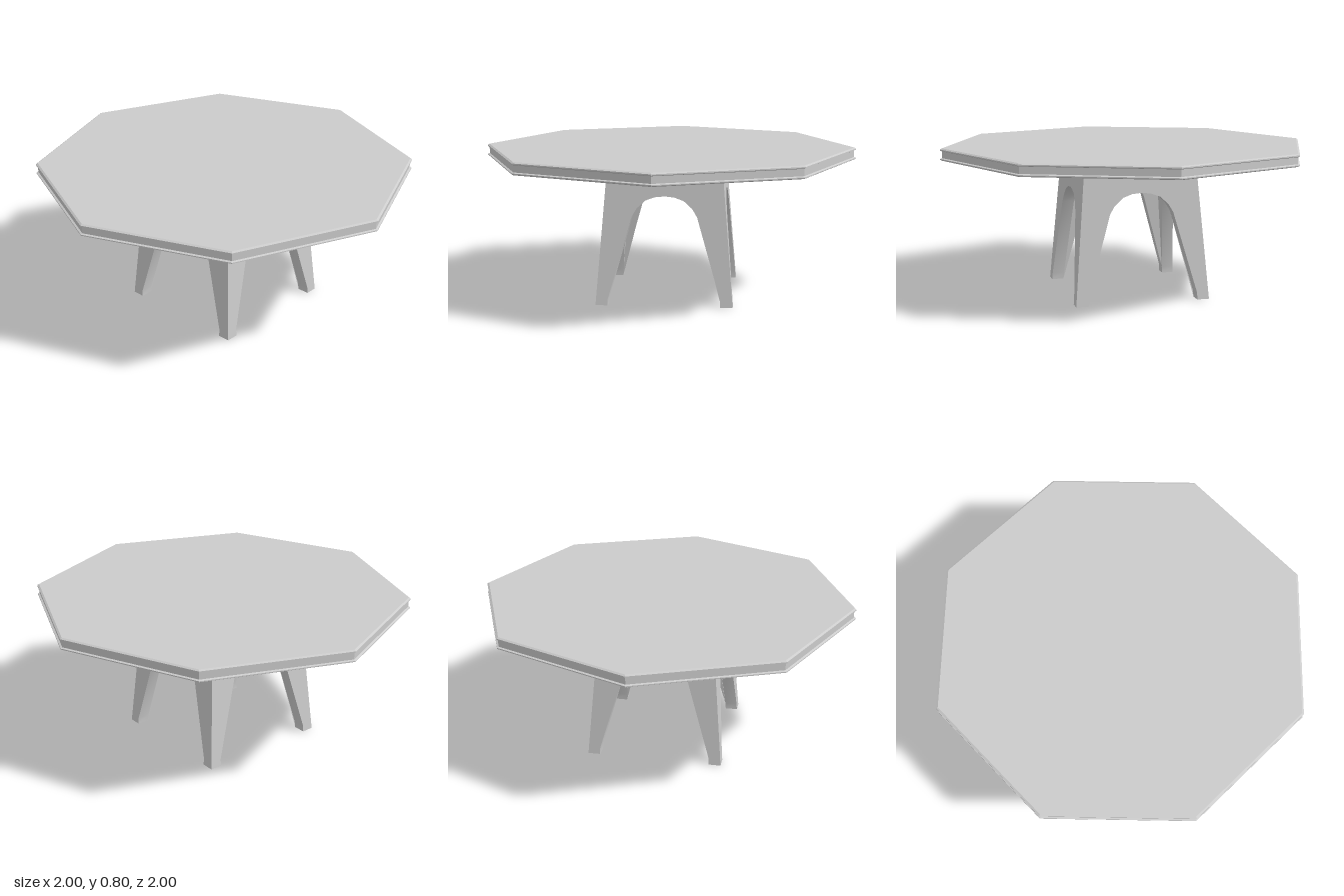
import * as THREE from 'three';
import { toCreasedNormals } from 'three/addons/utils/BufferGeometryUtils.js';

const LEG_TOP = 0.74;
const WALL = 0.065;

// Half width of the flared base at height y
const halfWidth = (y) => 0.36 - 0.062 * (y / LEG_TOP);

// One arched side of the base, mitred at the corners and leaning with the flare
function archPanel() {
  const arch = [[0.295, 0], [0.295, 0.035], [0.17, 0.47], [0.144, 0.513],
    [0.1, 0.553], [0.05, 0.571], [0, 0.576]];
  const right = arch.map(([x, y]) => new THREE.Vector2(x, y));
  const left = arch.slice(0, -1).reverse().map(([x, y]) => new THREE.Vector2(-x, y));
  const outline = [
    new THREE.Vector2(-halfWidth(0), 0), new THREE.Vector2(-halfWidth(LEG_TOP), LEG_TOP),
    new THREE.Vector2(halfWidth(LEG_TOP), LEG_TOP), new THREE.Vector2(halfWidth(0), 0),
    ...right, ...left,
  ];
  const geo = new THREE.ExtrudeGeometry(new THREE.Shape(outline), { depth: 1, bevelEnabled: false });
  const p = geo.attributes.position;
  for (let i = 0; i < p.count; i++) {
    const y = p.getY(i);
    const z = halfWidth(y) - (p.getZ(i) > 0.5 ? 0 : WALL);
    p.setXYZ(i, THREE.MathUtils.clamp(p.getX(i), -z, z), y, z);
  }
  return toCreasedNormals(geo, 0.5);
}

export function createModel() {
  const model = new THREE.Group();
  model.name = 'octagonalTable';
  const flat = new THREE.MeshStandardMaterial({ color: 0xcccccc, flatShading: true });
  const smooth = new THREE.MeshStandardMaterial({ color: 0xcccccc });

  // Eight-sided top with a recessed band between two chamfered lips
  const profile = [[0, 0.737], [0.99, 0.737], [1, 0.742], [1, 0.747], [0.99, 0.751],
    [0.99, 0.786], [1, 0.79], [1, 0.796], [0.99, 0.802], [0, 0.802]]
    .map(([r, y]) => new THREE.Vector2(r, y));
  const topGeo = new THREE.LatheGeometry(profile, 8).toNonIndexed();
  topGeo.computeVertexNormals();
  const top = new THREE.Mesh(topGeo, flat);
  top.name = 'tableTop';
  model.add(top);

  // Four arched sides meeting in corner legs
  const base = new THREE.Group();
  base.name = 'base';
  const panelGeo = archPanel();
  ['front', 'left', 'back', 'right'].forEach((side, i) => {
    const panel = new THREE.Mesh(panelGeo, smooth);
    panel.name = side + 'ArchPanel';
    panel.rotation.y = i * Math.PI / 2;
    base.add(panel);
  });
  model.add(base);
  return model;
}
